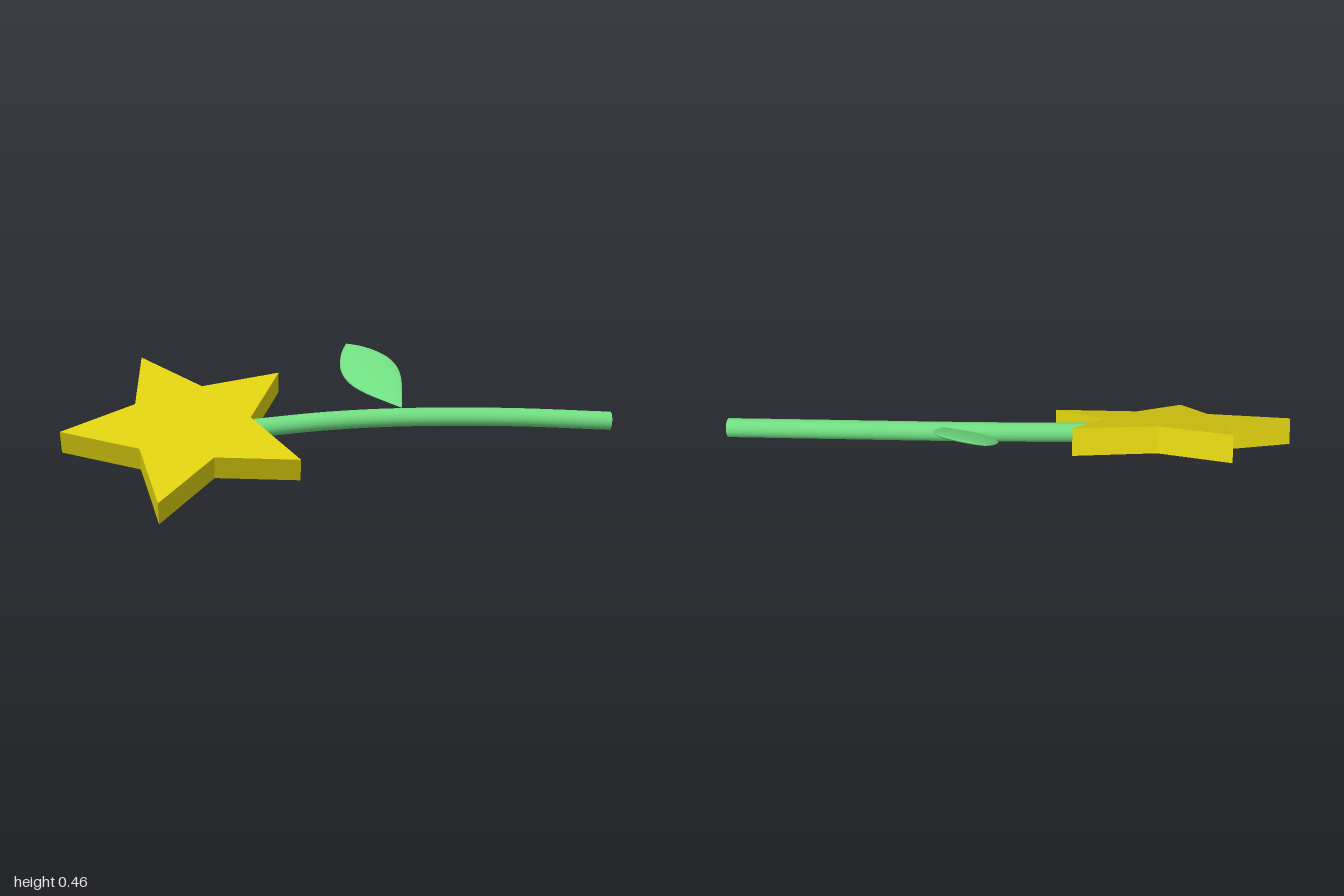
import * as THREE from 'three';

const yellow = new THREE.MeshStandardMaterial({ color: 0xdccf10, flatShading: true });
const green = new THREE.MeshStandardMaterial({ color: 0x70dc80 });
const vec = (x, y, z) => new THREE.Vector3(x, y, z);

function part(name, geometry, material, parent) {
  const mesh = new THREE.Mesh(geometry, material);
  mesh.name = name;
  parent.add(mesh);
  return mesh;
}

// Places a mesh at origin with its local y and z pointing along the given directions
function orient(mesh, origin, yDir, zDir) {
  const y = yDir.clone().normalize();
  const x = y.clone().cross(zDir).normalize();
  const z = x.clone().cross(y);
  mesh.quaternion.setFromRotationMatrix(new THREE.Matrix4().makeBasis(x, y, z));
  mesh.position.copy(origin);
}

export function createModel() {
  const group = new THREE.Group();
  group.name = 'starFlower';

  // Star head: five-pointed slab, top face at local z = 0, one tip towards the front
  const depth = 0.095;
  const outline = [];
  for (let i = 0; i < 10; i++) {
    const r = i % 2 ? 0.23 : 0.463;
    const a = -Math.PI / 2 + (i * Math.PI) / 5;
    outline.push(new THREE.Vector2(r * Math.cos(a), r * Math.sin(a)));
  }
  const starGeo = new THREE.ExtrudeGeometry(new THREE.Shape(outline), { depth, bevelEnabled: false });
  starGeo.translate(0, 0, -depth);
  const star = part('starHead', starGeo, yellow, group);
  orient(star, vec(-0.555, 0.271, 0.11), vec(-0.009, 0.392, -0.92), vec(0.103, 0.916, 0.389));

  // Stem: gently bent round tube with flat end caps
  const radius = 0.035;
  const path = new THREE.CatmullRomCurve3([
    vec(-0.33, 0.232, 0.012), vec(-0.07, 0.246, -0.085), vec(0.2, 0.251, -0.165),
    vec(0.6, 0.245, -0.255), vec(0.988, 0.228, -0.323),
  ]);
  part('stem', new THREE.TubeGeometry(path, 40, radius, 24), green, group);
  for (const t of [0, 1]) {
    const cap = part(t ? 'stemEndCap' : 'stemStartCap', new THREE.CircleGeometry(radius, 24), green, group);
    const out = path.getTangent(t).multiplyScalar(t ? 1 : -1);
    cap.position.copy(path.getPoint(t));
    cap.quaternion.setFromUnitVectors(vec(0, 0, 1), out);
  }

  // Leaf: pointed spindle squashed flat, rising backwards from the stem
  const base = vec(0.2, 0.283, -0.188), tip = vec(-0.066, 0.462, -0.542);
  const axis = tip.clone().sub(base), length = axis.length();
  const widths = [[0, 0], [0.15, 0.04], [0.3, 0.077], [0.45, 0.102], [0.6, 0.106], [0.75, 0.087], [0.9, 0.045], [1, 0]];
  const edge = new THREE.SplineCurve(widths.map(([t, w]) => new THREE.Vector2(w, t * length)));
  const profile = edge.getPoints(28).map((p) => p.setX(Math.max(p.x, 0)));
  const leaf = part('leaf', new THREE.LatheGeometry(profile, 24), green, group);
  orient(leaf, base, axis, vec(0, 0.892, 0.451));
  leaf.scale.z = 0.13;

  return group;
}
